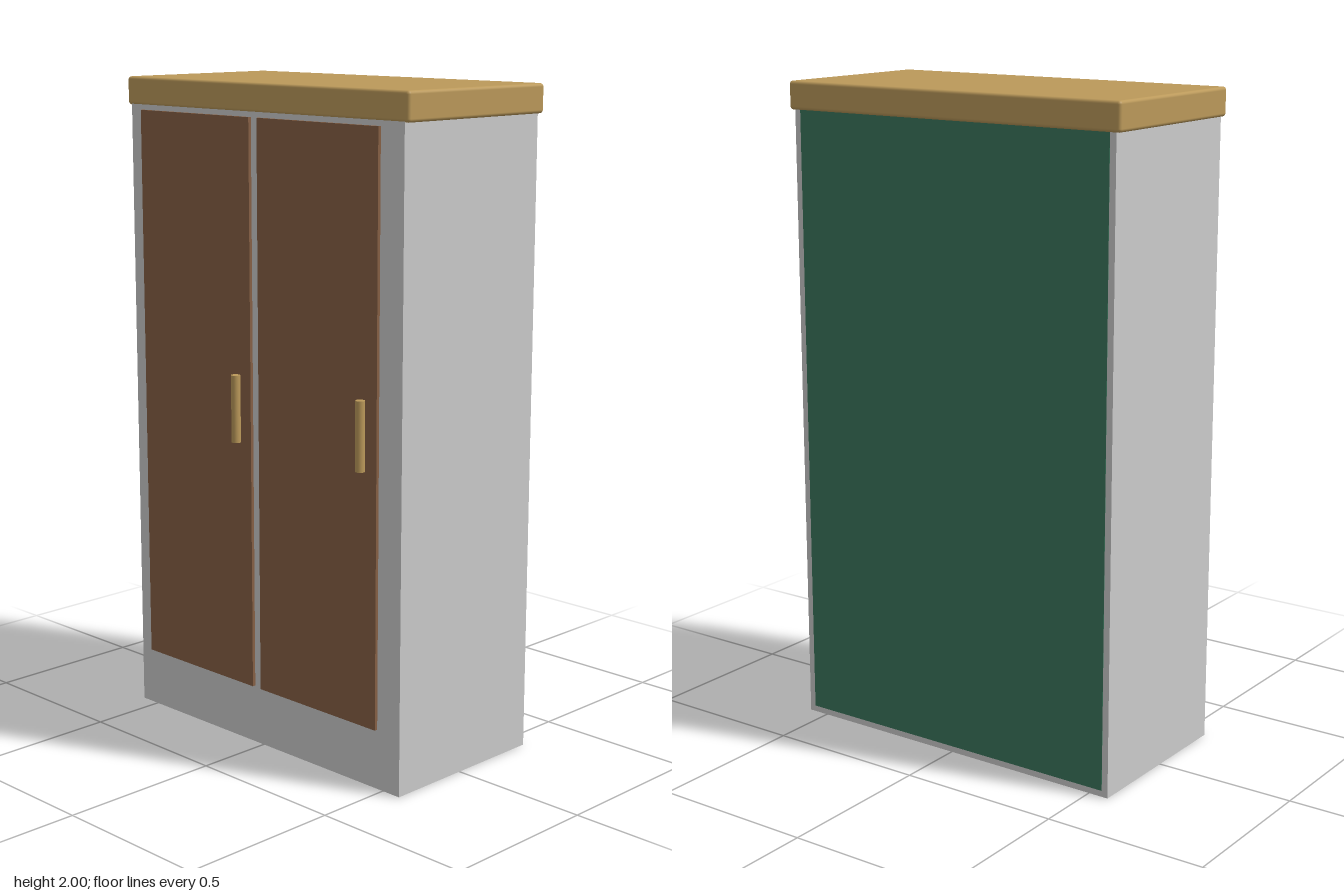
import * as THREE from 'three';
import { RoundedBoxGeometry } from 'three/addons/geometries/RoundedBoxGeometry.js';

const grey = new THREE.MeshStandardMaterial({ color: 0xcccccc });
const green = new THREE.MeshStandardMaterial({ color: 0x3a765c });
const brown = new THREE.MeshStandardMaterial({ color: 0x866045 });
const tan = new THREE.MeshStandardMaterial({ color: 0xbb995a });

export function createModel() {
  const group = new THREE.Group();

  function add(name, geometry, material, x, y, z) {
    const mesh = new THREE.Mesh(geometry, material);
    mesh.name = name;
    mesh.position.set(x, y, z);
    group.add(mesh);
    return mesh;
  }

  // Box spanning the given minimum and maximum corners
  function addBox(name, material, min, max, radius = 0) {
    const [w, h, d] = max.map((v, i) => v - min[i]);
    const [x, y, z] = max.map((v, i) => (v + min[i]) / 2);
    const geometry = radius
      ? new RoundedBoxGeometry(w, h, d, 3, radius)
      : new THREE.BoxGeometry(w, h, d);
    return add(name, geometry, material, x, y, z);
  }

  // Cabinet body, reaching up into the top board
  addBox('body', grey, [-0.565, 0.001, -0.294], [0.565, 1.997, 0.265]);

  // Painted panels set in a narrow grey rim on the back and underside
  addBox('backPanel', green, [-0.545, 0.02, -0.295], [0.545, 1.98, -0.285]);
  addBox('bottomPanel', green, [-0.545, 0, -0.275], [0.545, 0.01, 0.245]);

  // Top board with softened edges
  addBox('topBoard', tan, [-0.582, 1.915, -0.302], [0.582, 2, 0.268], 0.01);

  // Two doors, each with an upright round handle near its right edge
  const handle = new THREE.CylinderGeometry(0.014, 0.014, 0.204, 24);
  [['right', -0.512, -0.034, -0.084], ['left', 0, 0.478, 0.427]].forEach(([side, x0, x1, hx]) => {
    addBox(side + 'Door', brown, [x0, 0.182, 0.255], [x1, 1.902, 0.275]);
    add(side + 'Handle', handle, tan, hx, 1.043, 0.288);
  });

  return group;
}
